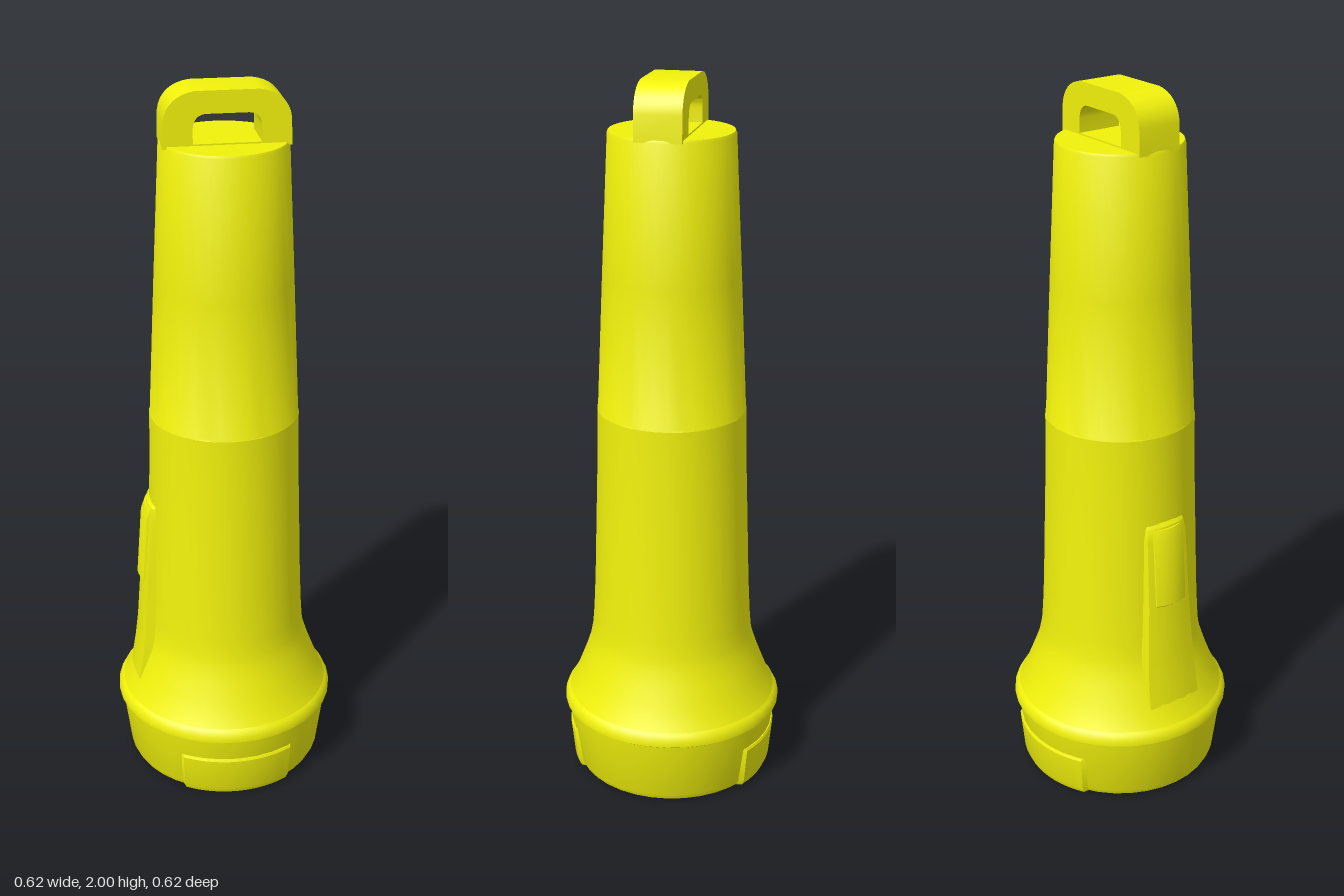
import * as THREE from 'three';
import { toCreasedNormals } from 'three/addons/utils/BufferGeometryUtils.js';

const SIDES = 36;

export function createModel() {
  const group = new THREE.Group();
  const yellow = new THREE.MeshStandardMaterial({ color: 0xf2f20c, side: THREE.DoubleSide });
  const red = new THREE.MeshStandardMaterial({ color: 0x800000 });

  const add = (name, geometry, material = yellow) => {
    const mesh = new THREE.Mesh(toCreasedNormals(geometry, 0.5), material);
    mesh.name = name;
    group.add(mesh);
    return mesh;
  };
  const points = (pairs) => pairs.map(([r, y]) => new THREE.Vector2(r, y));
  const lathe = (pairs, ...arc) => new THREE.LatheGeometry(points(pairs), ...(arc.length ? arc : [SIDES]));

  // Flared lower barrel and tapering upper barrel, meeting at a seam
  add('lowerBarrel', lathe([
    [0.298, 0.24], [0.282, 0.27], [0.266, 0.31], [0.25, 0.352], [0.236, 0.395], [0.229, 0.43],
    [0.225, 0.48], [0.22, 0.58], [0.213, 0.8], [0.208, 0.95], [0.206, 1.1],
  ]));
  add('upperBarrel', lathe([
    [0.206, 1.1], [0.204, 1.105], [0.187, 1.48], [0.169, 1.855], [0.166, 1.862], [0, 1.862],
  ]));

  // Lens cap with a raised rim and an inner lip around the lens
  add('lensCap', lathe([
    [0.221, 0.02], [0.224, 0.005], [0.26, 0.005], [0.272, 0.01], [0.28, 0.026],
    [0.302, 0.196], [0.312, 0.203], [0.312, 0.218], [0.304, 0.234], [0.298, 0.24], [0.28, 0.24],
  ]));
  const lens = add('lens', new THREE.CircleGeometry(0.224, SIDES), red);
  lens.rotation.x = Math.PI / 2;
  lens.position.y = 0.012;

  // Shallow raised grips on the front and back of the cap, ends sunk into it
  const gripSteps = 14;
  const gripProfile = [[0.225, 0], [0.268, 0], [0.281, 0.007], [0.289, 0.025], [0.299, 0.126], [0.296, 0.133], [0.285, 0.133]];
  for (const [name, middle] of [['frontGrip', 0], ['backGrip', Math.PI]]) {
    const grip = lathe(gripProfile, gripSteps, middle - 0.64, 1.28);
    const pos = grip.attributes.position;
    const count = gripProfile.length;
    for (let i = 0; i < pos.count; i++) {
      const column = Math.floor(i / count);
      if (column === 0 || column === gripSteps) {
        pos.setXYZ(i, pos.getX(i) * 0.94, pos.getY(i) + 0.008, pos.getZ(i) * 0.94);
      }
    }
    add(name, grip);
  }

  // Hanging loop
  const loop = new THREE.Shape();
  loop.moveTo(-0.165, 1.855);
  loop.lineTo(0.165, 1.855);
  loop.lineTo(0.163, 1.925);
  loop.bezierCurveTo(0.158, 1.97, 0.125, 1.995, 0.08, 2);
  loop.lineTo(-0.08, 2);
  loop.bezierCurveTo(-0.125, 1.995, -0.158, 1.97, -0.163, 1.925);
  const hole = new THREE.Path();
  hole.moveTo(-0.088, 1.866);
  hole.lineTo(-0.088, 1.905);
  hole.quadraticCurveTo(-0.085, 1.94, -0.055, 1.942);
  hole.lineTo(0.055, 1.942);
  hole.quadraticCurveTo(0.085, 1.94, 0.088, 1.905);
  hole.lineTo(0.088, 1.866);
  loop.holes.push(hole);
  const loopGeometry = new THREE.ExtrudeGeometry(loop, { depth: 0.126, bevelEnabled: false, curveSegments: 8 });
  loopGeometry.translate(0, 0, -0.063);
  add('hangingLoop', loopGeometry);

  // Tapered strip on the barrel: each row gives y, outer x, half width at face and at root
  const strip = (name, rows) => {
    const across = 6;
    const geo = new THREE.BoxGeometry(1, 1, 1, 1, rows.length - 1, across);
    const pos = geo.attributes.position;
    for (let i = 0; i < pos.count; i++) {
      const row = rows[Math.round((pos.getY(i) + 0.5) * (rows.length - 1))];
      const [y, outer, face, root] = row;
      const isFace = pos.getX(i) < 0;
      const t = pos.getZ(i) * 2;
      const x = isFace ? outer + 0.012 * t * t : -0.17;
      pos.setXYZ(i, x, y, t * (isFace ? face : root));
    }
    geo.computeVertexNormals();
    return add(name, geo);
  };
  strip('switchHousing', [
    [0.29, -0.272, 0.085, 0.094], [0.36, -0.261, 0.083, 0.092], [0.44, -0.252, 0.078, 0.088],
    [0.6, -0.241, 0.07, 0.08], [0.8, -0.226, 0.066, 0.075], [0.835, -0.22, 0.062, 0.074], [0.86, -0.2, 0.056, 0.07],
  ]);
  strip('switchSlider', [
    [0.595, -0.238, 0.052, 0.056], [0.605, -0.25, 0.05, 0.056],
    [0.8, -0.236, 0.05, 0.056], [0.83, -0.226, 0.048, 0.055],
  ]);

  return group;
}
